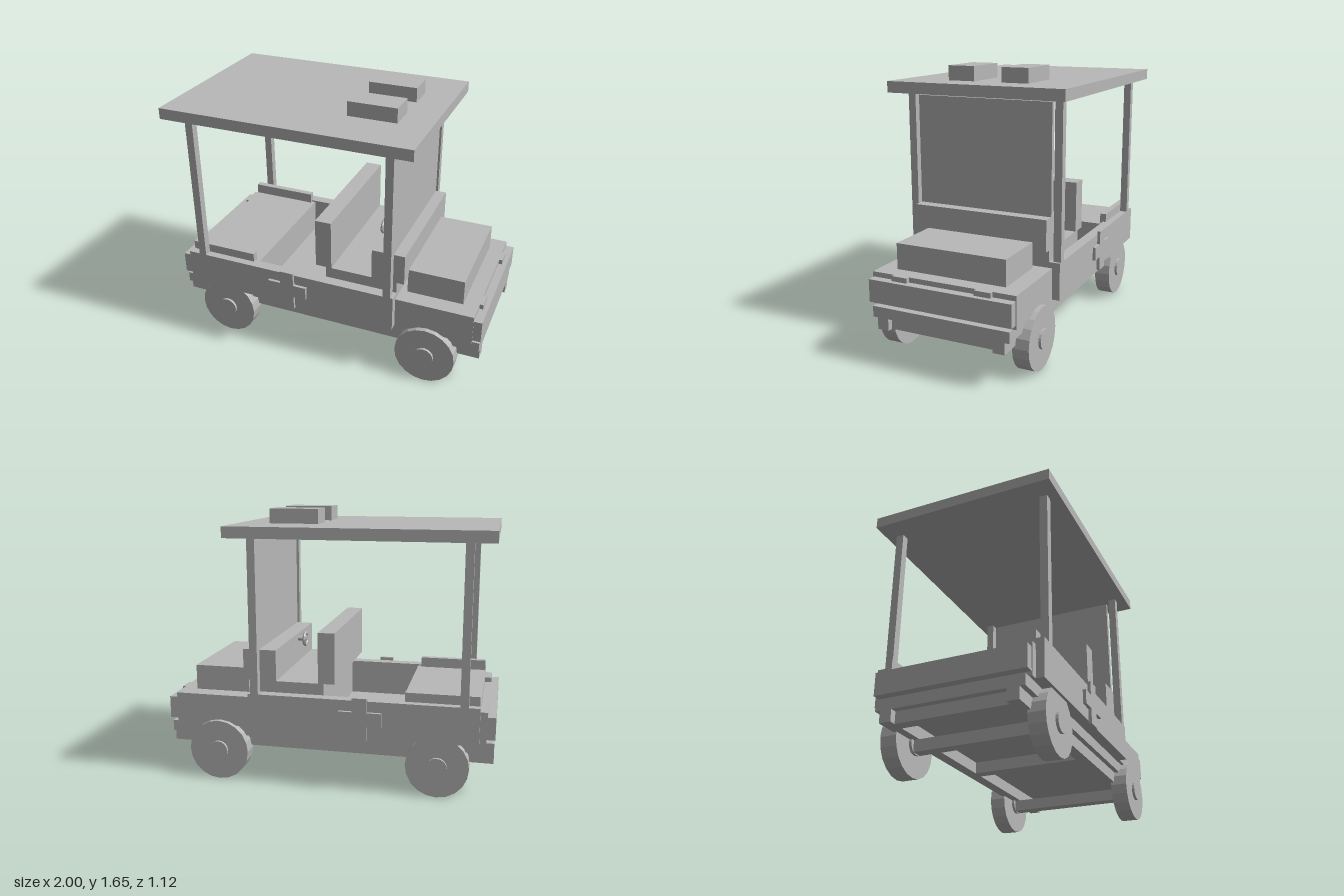
import * as THREE from 'three';

export function createModel() {
  const cart = new THREE.Group();
  cart.name = 'utilityCart';
  const grey = new THREE.MeshStandardMaterial({ color: 0xb8b8b8, flatShading: true });
  grey.name = 'plainGrey';

  const add = (name, geometry) => {
    const mesh = new THREE.Mesh(geometry, grey);
    mesh.name = name;
    cart.add(mesh);
    return mesh;
  };
  // Box given by its limits on each axis
  const box = (name, x0, x1, y0, y1, z0, z1) => {
    const mesh = add(name, new THREE.BoxGeometry(x1 - x0, y1 - y0, z1 - z0));
    mesh.position.set((x0 + x1) / 2, (y0 + y1) / 2, (z0 + z1) / 2);
    return mesh;
  };
  // The same box on both sides of the cart
  const pair = (name, x0, x1, y0, y1, z0, z1) => {
    box(name, x0, x1, y0, y1, z0, z1);
    box(name, x0, x1, y0, y1, -z1, -z0);
  };
  // Round part lying along z
  const disc = (name, r, x, y, z0, z1, sides) => {
    const geometry = new THREE.CylinderGeometry(r, r, z1 - z0, sides).rotateX(Math.PI / 2);
    add(name, geometry).position.set(x, y, (z0 + z1) / 2);
  };

  // Chassis: floor plate, long rails and cross beams
  box('floorPlate', -0.995, 0.99, 0.28, 0.345, -0.43, 0.43);
  pair('chassisRail', -0.995, 0.99, 0.21, 0.28, 0.33, 0.4);
  for (const x of [-0.92, 0, 0.92]) box('crossBeam', x - 0.035, x + 0.035, 0.21, 0.28, -0.33, 0.33);

  // Axles, wheels and hubs
  for (const x of [-0.672, 0.672]) {
    box('axle', x - 0.035, x + 0.035, 0.14, 0.21, -0.38, 0.38);
    for (const side of [-1, 1]) {
      const z = side * 0.43;
      disc('wheel', 0.187, x, 0.192, z - 0.05, z + 0.05, 20);
      disc('wheelHub', 0.06, x, 0.192, z - 0.066, z + 0.066, 16);
    }
  }

  // Body: side walls, front block and rear platform
  pair('sideWall', -0.91, 0.47, 0.345, 0.57, 0.43, 0.497);
  box('frontBody', 0.45, 0.948, 0.345, 0.535, -0.45, 0.45);
  box('rearPlatform', -0.91, -0.45, 0.345, 0.56, -0.43, 0.43);
  box('tailBody', -0.95, -0.91, 0.345, 0.505, -0.45, 0.45);
  box('hood', 0.512, 0.857, 0.535, 0.69, -0.345, 0.345);
  box('frontBumper', 0.948, 0.998, 0.37, 0.505, -0.445, 0.445);
  box('rearBumper', -1, -0.95, 0.37, 0.505, -0.445, 0.445);
  pair('headlight', 0.948, 0.97, 0.505, 0.535, 0.21, 0.31);
  pair('tailLight', -0.953, -0.91, 0.505, 0.535, 0.31, 0.45);
  pair('bedRail', -0.907, -0.475, 0.56, 0.625, 0.41, 0.45);

  // Cross emblem on each side, made of a post and two arms
  pair('crossPost', -0.262, -0.172, 0.33, 0.59, 0.497, 0.516);
  pair('crossArm', -0.347, -0.262, 0.42, 0.505, 0.497, 0.516);
  pair('crossArm', -0.172, -0.09, 0.42, 0.505, 0.497, 0.516);

  // Seat, dashboard and windshield
  box('seatBase', 0.015, 0.47, 0.345, 0.64, -0.43, 0.43);
  box('seatBack', -0.052, 0.05, 0.64, 0.95, -0.43, 0.43);
  box('dashboard', 0.31, 0.515, 0.64, 0.83, -0.43, 0.43);
  box('windshield', 0.415, 0.445, 0.83, 1.485, -0.43, 0.43);

  // Steering wheel with column and spokes
  const steering = new THREE.Group();
  steering.name = 'steeringWheel';
  const part = (geometry) => {
    const mesh = new THREE.Mesh(geometry, grey);
    steering.add(mesh);
    return mesh;
  };
  part(new THREE.TorusGeometry(0.04, 0.01, 6, 12).rotateY(Math.PI / 2)).name = 'rim';
  part(new THREE.CylinderGeometry(0.014, 0.014, 0.08, 10).rotateZ(Math.PI / 2).translate(0.03, 0, 0)).name = 'column';
  for (let i = 0; i < 3; i++) {
    const spoke = part(new THREE.BoxGeometry(0.01, 0.04, 0.01).translate(0, 0.02, 0));
    spoke.name = 'spoke';
    spoke.rotation.x = Math.PI + i * Math.PI * 2 / 3;
  }
  steering.position.set(0.262, 0.795, 0.08);
  cart.add(steering);

  // Roof, posts and beacon lights
  pair('rearPost', -0.845, -0.797, 0.57, 1.505, 0.45, 0.497);
  pair('frontPost', 0.405, 0.453, 0.57, 1.505, 0.45, 0.497);
  box('roof', -0.97, 0.58, 1.505, 1.572, -0.56, 0.56);
  pair('roofLight', 0.085, 0.385, 1.572, 1.66, 0.088, 0.258);

  return cart;
}
